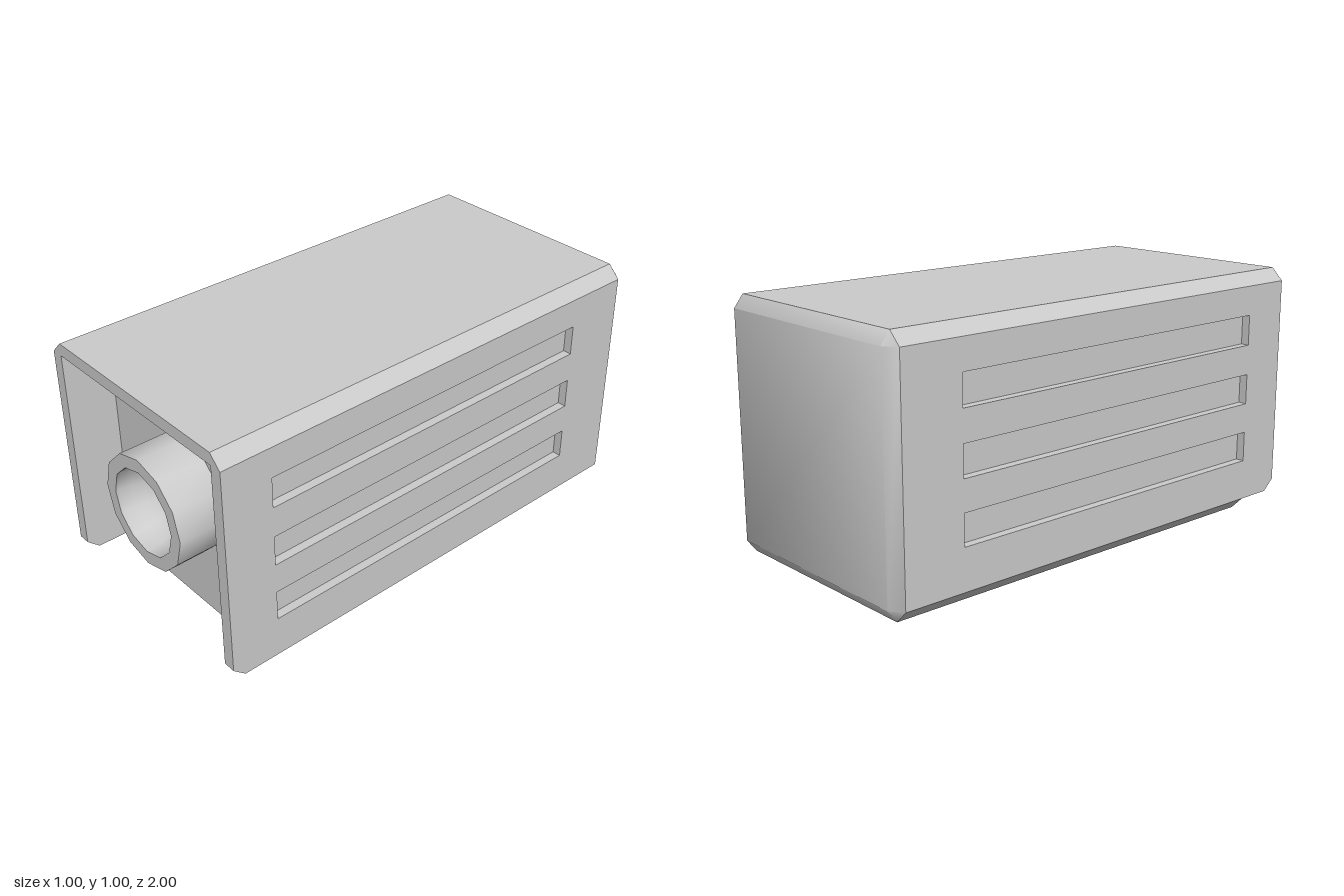
import * as THREE from 'three';
import { toCreasedNormals } from 'three/addons/utils/BufferGeometryUtils.js';

const CREASE = 0.7;
const BACK = -0.962, FRONT = 1, RECESS = 0.8;
const material = new THREE.MeshStandardMaterial({ color: 0xcccccc });

function part(name, geometry) {
  const mesh = new THREE.Mesh(toCreasedNormals(geometry, CREASE), material);
  mesh.name = name;
  return mesh;
}

const polygon = (points) => new THREE.Shape(points.map(([x, y]) => new THREE.Vector2(x, y)));

// Extrude an x/y outline from z0 to z1
function prism(points, z0, z1) {
  return new THREE.ExtrudeGeometry(polygon(points), { depth: z1 - z0, bevelEnabled: false }).translate(0, 0, z0);
}

// Side wall with three slots, drawn in (-z, y) and extruded along x
function sidePanel(x) {
  const shape = polygon([[-FRONT, 0.095], [-0.95, 0.05], [-BACK, 0.05], [-BACK, 0.95], [-FRONT, 0.95]]);
  for (const y of [0.216, 0.461, 0.707]) {
    const h = 0.123, a = -0.797, b = 0.706;
    shape.holes.push(new THREE.Path([[a, y], [a, y + h], [b, y + h], [b, y]].map((p) => new THREE.Vector2(...p))));
  }
  return new THREE.ExtrudeGeometry(shape, { depth: 0.05, bevelEnabled: false })
    .rotateY(Math.PI / 2)
    .translate(x, 0, 0);
}

// Bevelled end: octagonal ring narrowing to a rectangle
function rearCap() {
  const ring = [[0.45, 0], [0.5, 0.05], [0.5, 0.95], [0.45, 1], [-0.45, 1], [-0.5, 0.95], [-0.5, 0.05], [-0.45, 0]];
  const rect = [[0.45, 0.05], [0.45, 0.95], [-0.45, 0.95], [-0.45, 0.05]];
  const positions = [...ring.map((p) => [...p, BACK]), ...rect.map((p) => [...p, -1])].flat();
  const index = [8, 10, 9, 8, 11, 10];
  for (let i = 0; i < 4; i++) {
    const a = 2 * i, b = a + 1, c = (a + 2) % 8, r = 8 + i, s = 8 + ((i + 1) % 4);
    index.push(a, r, b, b, r, s, b, s, c);
  }
  const geometry = new THREE.BufferGeometry();
  geometry.setAttribute('position', new THREE.Float32BufferAttribute(positions, 3));
  geometry.setIndex(index);
  return geometry;
}

// Twelve-sided tube with a rounded hollow
function socket() {
  const profile = [[0.23, 0], [0.23, 0.2], [0.175, 0.2]];
  for (let i = 0; i <= 6; i++) {
    const t = (i / 6) * Math.PI / 2;
    profile.push([i === 6 ? 0 : 0.175 * Math.cos(t), 0.185 - 0.175 * Math.sin(t)]);
  }
  return new THREE.LatheGeometry(profile.map((p) => new THREE.Vector2(...p)), 12)
    .rotateX(Math.PI / 2)
    .translate(0, 0.5, RECESS);
}

export function createModel() {
  const group = new THREE.Group();
  group.name = 'slottedHousing';

  // Core stops short of the open front; its narrowed sides form the slot floors
  const w = 0.465;
  group.add(part('core', prism([
    [-0.45, 0], [0.45, 0], [0.5, 0.05], [w, 0.05], [w, 0.95], [-w, 0.95], [-w, 0.05], [-0.5, 0.05],
  ], BACK, RECESS)));

  // Roof with chamfered long edges
  group.add(part('roof', prism([[-0.5, 0.95], [0.5, 0.95], [0.45, 1], [-0.45, 1]], BACK, FRONT)));

  group.add(part('leftPanel', sidePanel(0.45)));
  group.add(part('rightPanel', sidePanel(-0.5)));
  group.add(part('rearCap', rearCap()));
  group.add(part('socket', socket()));
  return group;
}
